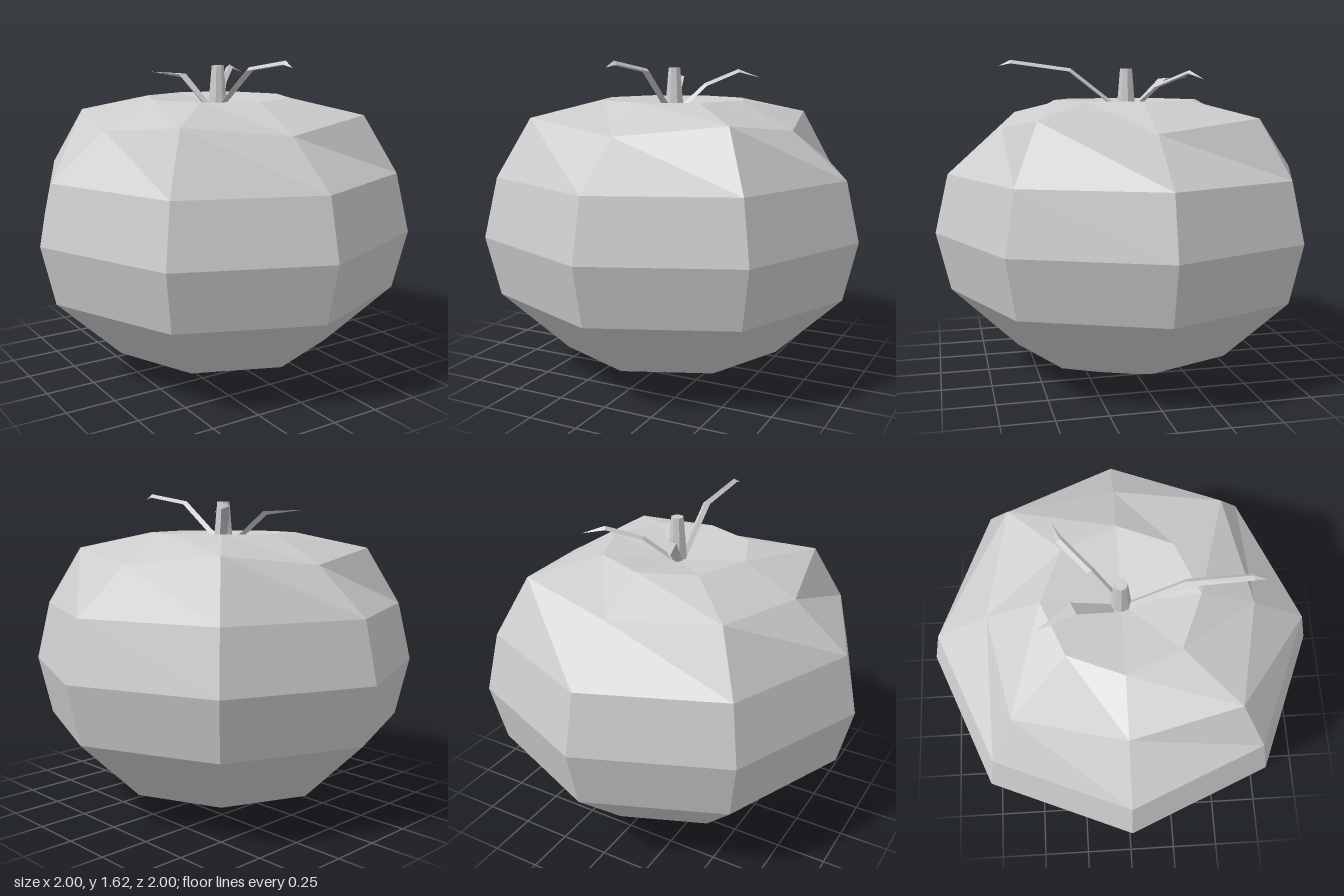
import * as THREE from 'three';

const SIDES = 8;

// Faceted fruit: eight-sided lathe with a sunken top and raised corner shoulders
function makeBody() {
  const profile = [
    [0, 0], [0.25, 0], [0.59, 0.125], [0.93, 0.45], [1, 0.75],
    [0.93, 1.05], [0.65, 1.28], [0.38, 1.42], [0, 1.36],
  ].map(([r, y]) => new THREE.Vector2(r, y));
  const geometry = new THREE.LatheGeometry(profile, SIDES);
  const shoulder = 6;
  const pos = geometry.attributes.position;
  for (let s = 1; s <= SIDES; s += 2) {
    const i = s * profile.length + shoulder;
    const k = 0.755 / 0.65;
    pos.setXYZ(i, pos.getX(i) * k, 1.34, pos.getZ(i) * k);
  }
  return geometry;
}

// Thin folded leaf: triangular sections along a bent path, ending in a point
function makeLeaf(path, widths, ridge) {
  const points = path.map((p) => new THREE.Vector3(...p));
  const dir = points.at(-1).clone().sub(points[0]).setY(0).normalize();
  const side = new THREE.Vector3().crossVectors(dir, new THREE.Vector3(0, 1, 0));
  const sections = points.map((p, i) => {
    const w = (widths[i] / 2) * Math.sign(ridge);
    const before = points[Math.max(i - 1, 0)];
    const after = points[Math.min(i + 1, points.length - 1)];
    const along = after.clone().sub(before).normalize();
    const up = new THREE.Vector3().crossVectors(side, along);
    const height = widths[i] > 0 ? ridge : 0;
    return [
      p.clone().addScaledVector(side, -w),
      p.clone().addScaledVector(up, height),
      p.clone().addScaledVector(side, w),
    ];
  });
  const corners = [];
  for (let i = 0; i < sections.length - 1; i++) {
    const a = sections[i];
    const b = sections[i + 1];
    for (let j = 0; j < 3; j++) {
      const k = (j + 1) % 3;
      corners.push(a[j], a[k], b[k]);
      if (b[j].distanceTo(b[k]) > 1e-5) corners.push(a[j], b[k], b[j]);
    }
  }
  const geometry = new THREE.BufferGeometry().setFromPoints(corners);
  geometry.computeVertexNormals();
  return geometry;
}

export function createModel() {
  const model = new THREE.Group();
  const grey = new THREE.MeshStandardMaterial({ color: 0xcccccc, flatShading: true });
  grey.name = 'light grey';

  const add = (name, geometry) => {
    const mesh = new THREE.Mesh(geometry, grey);
    mesh.name = name;
    model.add(mesh);
    return mesh;
  };

  add('body', makeBody());

  // Tapered stem standing in the dip
  add('stem', new THREE.CylinderGeometry(0.032, 0.052, 0.23, SIDES)).position.y = 1.465;

  // Three leaves curling out from the foot of the stem
  add('frontLeaf', makeLeaf(
    [[-0.015, 1.35, 0.02], [-0.005, 1.565, 0.3], [-0.012, 1.605, 0.6], [-0.02, 1.592, 0.66]],
    [0.04, 0.04, 0.035, 0], 0.018));
  add('backLeftLeaf', makeLeaf(
    [[0.015, 1.35, -0.01], [0.12, 1.485, -0.135], [0.25, 1.555, -0.27], [0.36, 1.525, -0.31]],
    [0.04, 0.04, 0.04, 0], 0.016));
  add('backRightLeaf', makeLeaf(
    [[-0.02, 1.35, -0.02], [-0.085, 1.53, -0.22], [-0.185, 1.537, -0.39]],
    [0.045, 0.065, 0], -0.02));

  return model;
}
